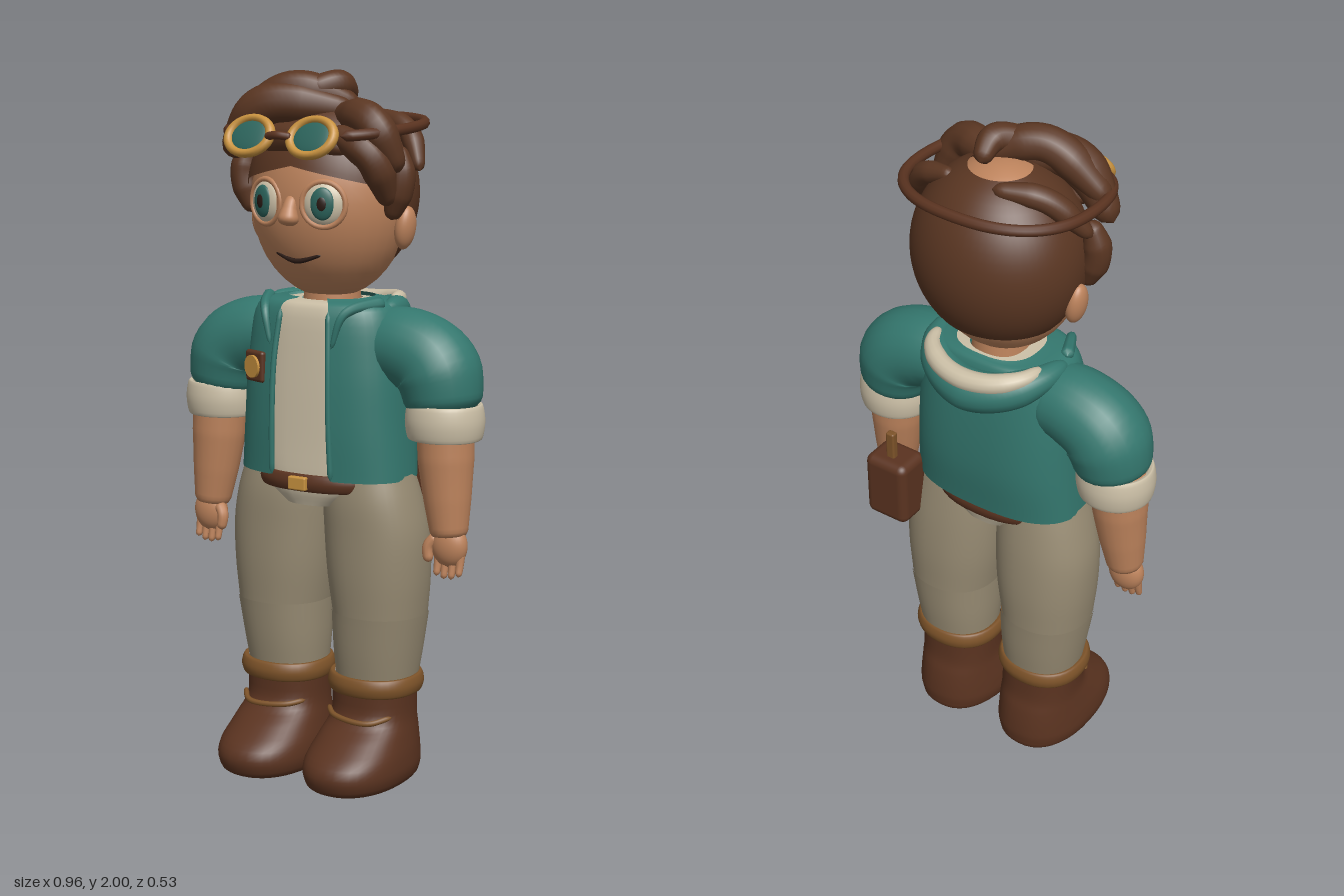
import * as THREE from 'three';
import { mergeVertices } from 'three/addons/utils/BufferGeometryUtils.js';
import { RoundedBoxGeometry } from 'three/addons/geometries/RoundedBoxGeometry.js';

const colours = {
  skin: 0xbd835c, hair: 0x5a3622, leather: 0x5a3320, teal: 0x34776e, cream: 0xcbbfa6,
  trousers: 0x968a72, tan: 0x7d5329, gold: 0xc8923f, dark: 0x2a1a14, lens: 0x2c645c,
};
const mats = {};
for (const [name, color] of Object.entries(colours)) {
  mats[name] = new THREE.MeshStandardMaterial({ color });
  mats[name].name = name;
}
for (const n of ['teal', 'hair', 'leather', 'cream']) mats[n].side = THREE.DoubleSide;

const V = (p) => new THREE.Vector3(...p);

function smooth(geo) {
  geo.deleteAttribute('uv');
  geo.deleteAttribute('normal');
  const g = mergeVertices(geo, 1e-5);
  g.computeVertexNormals();
  return g;
}

// Grid surface from fn(u, v), v running upwards and u running counter-clockwise
function grid(fn, nu, nv) {
  const pos = [], idx = [];
  for (let j = 0; j <= nv; j++) for (let i = 0; i <= nu; i++) pos.push(...fn(i / nu, j / nv));
  for (let j = 0; j < nv; j++) for (let i = 0; i < nu; i++) {
    const a = j * (nu + 1) + i, b = a + nu + 1;
    idx.push(a, a + 1, b + 1, a, b + 1, b);
  }
  const g = new THREE.BufferGeometry();
  g.setAttribute('position', new THREE.Float32BufferAttribute(pos, 3));
  g.setIndex(idx);
  return smooth(g);
}

// Horizontal superellipse sections [y, cx, cz, rx, rz], splined upwards, open at the front by gap
const section = ([y, cx, cz, rx, rz], a, n) => {
  const f = (t) => Math.sign(t) * Math.abs(t) ** (2 / n);
  return [cx + rx * f(Math.sin(a)), y, cz + rz * f(Math.cos(a))];
};
function loft(rows, n = 2, gap = 0, fine = 4) {
  const spline = (pick) => new THREE.CatmullRomCurve3(rows.map((r) => V(pick(r))), false, 'catmullrom');
  const centre = spline(([y, cx, cz]) => [y, cx, cz]), radius = spline((r) => [r[3], r[4], 0]);
  return grid((u, v) => {
    const c = centre.getPoint(v), r = radius.getPoint(v);
    return section([c.x, c.y, c.z, r.x, r.y], gap + (gap ? u : u % 1) * 2 * (Math.PI - gap), n);
  }, 40, (rows.length - 1) * fine);
}

// Rounded tube through points whose radius follows a list
function limb(points, radii, sides = 14, cap = 0.1, steps = 28) {
  const curve = new THREE.CatmullRomCurve3(points.map(V));
  const geo = new THREE.TubeGeometry(curve, steps, 1, sides);
  const pos = geo.attributes.position, v = new THREE.Vector3();
  for (let i = 0; i <= steps; i++) {
    const t = i / steps, c = curve.getPointAt(t), k = t * (radii.length - 1);
    const k0 = Math.min(Math.floor(k), radii.length - 2);
    const e = Math.min(1, Math.min(t, 1 - t) / cap);
    const r = THREE.MathUtils.lerp(radii[k0], radii[k0 + 1], k - k0) * Math.sqrt(1 - (1 - e) ** 2) + 1e-4;
    for (let j = 0; j <= sides; j++) {
      const q = i * (sides + 1) + j;
      v.fromBufferAttribute(pos, q).sub(c).multiplyScalar(r).add(c);
      pos.setXYZ(q, v.x, v.y, v.z);
    }
  }
  return smooth(geo);
}

// Points of fn(angle) spread evenly between two angles
const arc = (from, to, count, fn) => Array.from({ length: count }, (_, i) => fn(from + (to - from) * i / (count - 1)));

export function createModel() {
  const root = new THREE.Group();
  root.name = 'explorer';
  const add = (name, geo, mat, p = [0, 0, 0], rot = [0, 0, 0], s = [1, 1, 1], parent = root) => {
    const m = new THREE.Mesh(geo, mats[mat]);
    m.name = name;
    m.position.set(...p); m.rotation.set(...rot); m.scale.set(...s);
    parent.add(m);
  };
  const ball = new THREE.SphereGeometry(1, 32, 20);
  const sides = [[1, 'left'], [-1, 'right']];

  // Head and face
  add('head', ball, 'skin', [0, 1.645, -0.02], [0, 0, 0], [0.226, 0.275, 0.205]);
  add('neck', new THREE.CylinderGeometry(0.075, 0.085, 0.12, 24), 'skin', [0, 1.38, -0.03]);
  add('nose', limb([[0, 1.67, 0.165], [0, 1.63, 0.185], [0, 1.585, 0.195]], [0.015, 0.022, 0.036], 14, 0.3), 'skin');
  add('mouth', limb([[-0.075, 1.507, 0.14], [0, 1.487, 0.152], [0.075, 1.507, 0.14]], [0.005, 0.007, 0.005], 8), 'dark');
  for (const [s, side] of sides) {
    add(side + 'Ear', ball, 'skin', [s * 0.235, 1.575, -0.03], [0, 0, s * -0.15], [0.027, 0.06, 0.036]);
    const eye = new THREE.Group();
    eye.name = side + 'Eye';
    eye.position.set(s * 0.09, 1.645, 0.152);
    eye.rotation.y = s * 0.3;
    root.add(eye);
    add('eyelid', new THREE.TorusGeometry(0.061, 0.008, 10, 32), 'skin', [0, 0, 0.008], [0, 0, 0], [1, 1, 1], eye);
    add('eyeWhite', ball, 'cream', [0, 0, 0], [0, 0, 0], [0.06, 0.061, 0.028], eye);
    add('iris', ball, 'lens', [0, 0.002, 0.02], [0, 0, 0], [0.034, 0.044, 0.012], eye);
    add('pupil', ball, 'dark', [0, 0.002, 0.028], [0, 0, 0], [0.015, 0.021, 0.006], eye);
  }

  // Hair cap with a crown opening and a hem that drops behind the ears
  add('hairCap', grid((u, v) => {
    const a = (u % 1) * Math.PI * 2, d = Math.min(a, Math.PI * 2 - a);
    const hem = 1.745 - 0.05 * Math.min(1, d) - 0.21 * THREE.MathUtils.smoothstep(d, 1.0, 1.85);
    const t = THREE.MathUtils.lerp(Math.acos((hem - 1.665) / 0.262), 0.36, v);
    return [0.245 * Math.sin(t) * Math.sin(a), 1.665 + 0.262 * Math.cos(t), -0.035 + 0.225 * Math.sin(t) * Math.cos(a)];
  }, 64, 20), 'hair');

  // Hair locks, thickest in the middle
  const lock = (r, ...pts) => add('hairLock', limb(pts, [r * 0.55, r, r, r * 0.5]), 'hair');
  lock(0.058, [-0.26, 1.76, 0.1], [-0.13, 1.9, 0.11], [0.1, 1.89, 0.01]);
  lock(0.05, [-0.25, 1.82, 0.1], [-0.07, 1.945, 0.07], [0.1, 1.9, -0.02]);
  lock(0.05, [0.05, 1.88, 0.02], [0.2, 1.86, 0.09], [0.27, 1.73, 0.06]);
  lock(0.045, [0.09, 1.84, 0.12], [0.21, 1.77, 0.11], [0.235, 1.64, 0.05]);
  lock(0.038, [0.04, 1.92, -0.07], [0.04, 1.96, 0], [-0.05, 1.92, 0.09]);
  lock(0.033, [-0.04, 1.9, -0.13], [-0.16, 1.875, -0.065], [-0.26, 1.77, 0]);
  lock(0.03, [0.1, 1.88, -0.1], [0.215, 1.835, -0.075], [0.28, 1.73, -0.03]);
  lock(0.04, [-0.18, 1.8, 0.1], [0, 1.82, 0.15], [0.15, 1.79, 0.12]);
  for (const [s] of sides) lock(0.038, [s * 0.24, 1.8, 0.02], [s * 0.257, 1.71, 0.03], [s * 0.225, 1.6, 0.03]);

  // Goggles pushed up on the hair, with a loose strap
  for (const [s, side] of sides) {
    const lens = new THREE.Group();
    lens.name = side + 'Goggle';
    lens.position.set(s * 0.1, 1.825, 0.228);
    lens.rotation.x = -0.52;
    lens.scale.y = 0.8;
    root.add(lens);
    add('rim', new THREE.TorusGeometry(0.066, 0.014, 12, 36), 'gold', [0, 0, 0], [0, 0, 0], [1, 1, 1], lens);
    add('glass', ball, 'lens', [0, 0, 0], [0, 0, 0], [0.06, 0.06, 0.01], lens);
  }
  add('goggleBridge', limb([[-0.04, 1.825, 0.235], [0, 1.83, 0.247], [0.04, 1.825, 0.235]], [0.011, 0.011]), 'leather');
  const strapPath = arc(0.65, Math.PI * 2 - 0.65, 17, (a) => section([1.845 - 0.02 * Math.cos(a), 0, 0, 0.26, 0.245], a, 2.4));
  add('goggleStrap', limb(strapPath, [0.015, 0.015], 10, 0.02, 80), 'leather');

  // Shirt, open jacket and belt
  add('shirt', loft([[0.8, 0, -0.01, 0.1, 0.125], [0.86, 0, -0.01, 0.18, 0.14], [0.98, 0, -0.015, 0.22, 0.14],
    [1.2, 0, -0.02, 0.21, 0.135], [1.35, 0, -0.02, 0.17, 0.12], [1.37, 0, -0.03, 0.08, 0.08]], 2.6), 'cream');
  const jacket = [[0.88, 0, -0.015, 0.262, 0.152], [1.03, 0, -0.02, 0.252, 0.163],
    [1.2, 0, -0.02, 0.24, 0.158], [1.35, 0, -0.02, 0.21, 0.138], [1.378, 0, -0.03, 0.12, 0.1]];
  add('jacket', loft(jacket, 2.6, 0.28, 6), 'teal');
  for (const [s, side] of sides) {
    add(side + 'JacketEdge', limb(jacket.slice(0, 4).map((r) => section(r, s * 0.28, 2.6)), [0.008, 0.008], 8, 0.02), 'teal');
    add(side + 'Lapel', limb([[s * 0.1, 1.25, 0.135], [s * 0.13, 1.345, 0.115], [s * 0.19, 1.37, 0]], [0.006, 0.014, 0.02], 8), 'teal');
  }
  const band = (y, h, cx, cz, rx, rz, n) => loft([[y, cx, cz, rx - 0.02, rz - 0.02], [y, cx, cz, rx - 0.007, rz - 0.007],
    [y + h / 2, cx, cz, rx, rz], [y + h, cx, cz, rx - 0.007, rz - 0.007], [y + h, cx, cz, rx - 0.02, rz - 0.02]], n);
  add('belt', band(0.845, 0.046, 0, -0.01, 0.2, 0.158, 2.4), 'leather');
  add('buckle', new RoundedBoxGeometry(0.058, 0.038, 0.02, 2, 0.005), 'gold', [0, 0.868, 0.148]);

  // Hood folded down behind the neck
  const hoodArc = (y, rise, rx, cz, rz) => arc(-1.55, 1.55, 7, (a) => [rx * Math.sin(a), y + rise * Math.sin(a) ** 2, cz - rz * Math.cos(a)]);
  add('hood', limb(hoodArc(1.3, 0.055, 0.195, 0, 0.19), [0.02, 0.05, 0.06, 0.05, 0.02], 16, 0.08, 48), 'teal');
  add('hoodLining', limb(hoodArc(1.345, 0.025, 0.17, -0.08, 0.132), [0.016, 0.028, 0.03, 0.028, 0.016], 14, 0.08, 40), 'cream');

  // Chest badge
  add('badge', new RoundedBoxGeometry(0.08, 0.088, 0.02, 3, 0.009), 'leather', [-0.16, 1.18, 0.117], [0, -0.35, 0]);
  add('badgeDisc', new THREE.CylinderGeometry(0.032, 0.032, 0.012, 24), 'gold', [-0.164, 1.18, 0.128], [Math.PI / 2, 0, 0.35]);

  for (const [s, side] of sides) {
    // Arms and hands
    add(side + 'Sleeve', limb([[s * 0.13, 1.25, -0.03], [s * 0.25, 1.245, -0.03], [s * 0.335, 1.2, -0.03], [s * 0.37, 1.06, -0.025]],
      [0.1, 0.112, 0.12, 0.1], 24, 0.15), 'teal');
    add(side + 'Cuff', band(1.01, 0.092, s * 0.37, -0.022, 0.111, 0.107, 2), 'cream');
    add(side + 'Forearm', limb([[s * 0.375, 1.06, -0.015], [s * 0.383, 0.92, -0.01], [s * 0.4, 0.73, 0]], [0.08, 0.078, 0.066, 0.05], 20, 0.06), 'skin');
    add(side + 'Palm', ball, 'skin', [s * 0.402, 0.715, 0.003], [0, 0, 0], [0.054, 0.062, 0.036]);
    add(side + 'Thumb', limb([[s * 0.37, 0.74, 0.01], [s * 0.347, 0.71, 0.022], [s * 0.35, 0.665, 0.027]], [0.018, 0.014], 10, 0.2), 'skin');
    for (let i = 0; i < 4; i++) {
      const x = s * (0.37 + i * 0.023), low = 0.62 + 0.004 * (i - 1.3) ** 2;
      add(side + 'Finger', limb([[x, 0.7, 0.003], [x, 0.66, 0.01], [x, low, 0.018]], [0.013, 0.009], 10, 0.15, 14), 'skin');
    }

    // Trouser legs, creased at the knee
    add(side + 'Shin', loft([[0.29, s * 0.15, -0.035, 0.115, 0.11], [0.38, s * 0.154, -0.034, 0.126, 0.122],
      [0.49, s * 0.161, -0.032, 0.136, 0.132]], 2.2), 'trousers');
    add(side + 'Thigh', loft([[0.48, s * 0.161, -0.032, 0.132, 0.129], [0.6, s * 0.158, -0.029, 0.146, 0.135],
      [0.72, s * 0.154, -0.024, 0.15, 0.133], [0.82, s * 0.144, -0.017, 0.14, 0.126], [0.91, s * 0.135, -0.015, 0.12, 0.11]], 2.2), 'trousers');

    // Boots: [y, half width, back, front]
    const bootRows = [[0, 0.001, 0, 0.002], [0, 0.11, -0.145, 0.2], [0.035, 0.138, -0.167, 0.243], [0.085, 0.138, -0.166, 0.235],
      [0.14, 0.127, -0.157, 0.16], [0.19, 0.118, -0.144, 0.092], [0.27, 0.118, -0.14, 0.085]];
    add(side + 'Boot', loft(bootRows.map(([y, w, b, f]) => [y, s * 0.146, (b + f) / 2, w, (f - b) / 2]), 2.3), 'leather');
    add(side + 'BootCuff', band(0.26, 0.05, s * 0.15, -0.028, 0.135, 0.131, 2.2), 'tan');
    add(side + 'BootLace', limb([[s * 0.04, 0.205, 0.05], [s * 0.085, 0.195, 0.092], [s * 0.2, 0.19, 0.1], [s * 0.25, 0.205, 0.05]],
      [0.008, 0.008], 8), 'tan');
  }
  add('hips', loft([[0.79, 0, -0.018, 0.12, 0.09], [0.83, 0, -0.018, 0.24, 0.118], [0.9, 0, -0.018, 0.24, 0.125]]), 'trousers');

  // Hip pouch with its tab
  add('pouch', new RoundedBoxGeometry(0.14, 0.205, 0.115, 4, 0.025), 'leather', [0.28, 0.835, -0.162]);
  add('pouchTab', new RoundedBoxGeometry(0.028, 0.1, 0.022, 2, 0.006), 'tan', [0.28, 0.97, -0.175]);

  return root;
}
